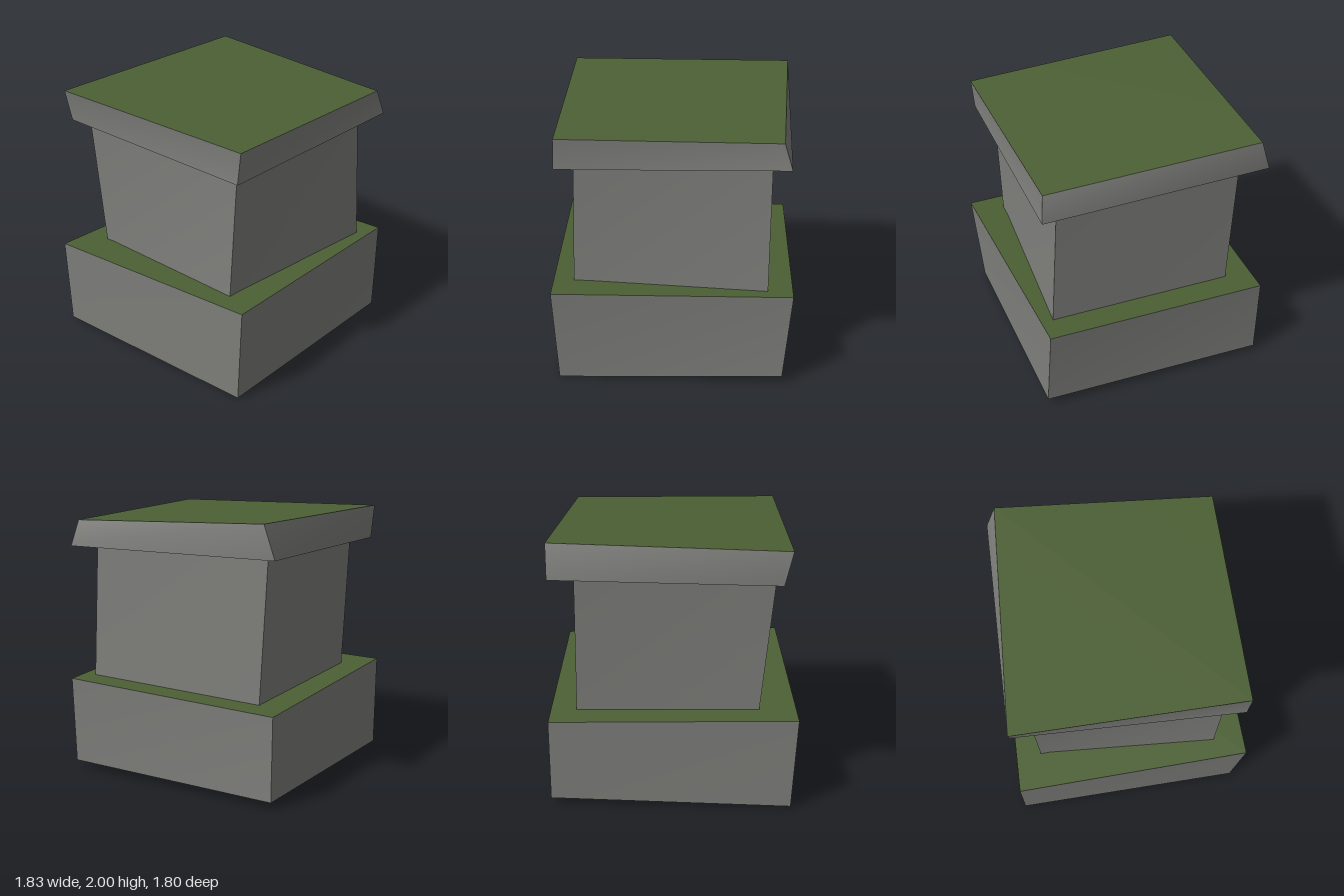
import * as THREE from 'three';

const stone = new THREE.MeshStandardMaterial({ color: 0x7f7f7c });
stone.name = 'stone grey';
const moss = new THREE.MeshStandardMaterial({ color: 0x4c6034 });
moss.name = 'moss green';

// Box whose eight corners are moved to given points.
// Corner order: -x+z, +x+z, +x-z, -x-z.
function crookedBlock(name, bottom, top, topMaterial) {
  const geometry = new THREE.BoxGeometry(1, 1, 1);
  const p = geometry.attributes.position;
  for (let i = 0; i < p.count; i++) {
    const right = p.getX(i) > 0;
    const corner = p.getZ(i) > 0 ? (right ? 1 : 0) : (right ? 2 : 3);
    const ring = p.getY(i) > 0 ? top : bottom;
    p.setXYZ(i, ...ring[corner]);
  }
  // soft per-face normals across each slightly twisted quad
  geometry.computeVertexNormals();
  const mesh = new THREE.Mesh(geometry, [stone, stone, topMaterial, stone, stone, stone]);
  mesh.name = name;
  return mesh;
}

export function createModel() {
  const pillar = new THREE.Group();
  pillar.name = 'stonePillar';

  // Wide foot with a mossy ledge
  pillar.add(crookedBlock('base',
    [[-0.83, 0, 0.84], [0.85, 0.06, 0.85], [0.90, 0.05, -0.87], [-0.88, 0.01, -0.90]],
    [[-0.86, 0.75, 0.90], [0.91, 0.73, 0.83], [0.90, 0.675, -0.88], [-0.92, 0.705, -0.895]],
    moss));

  // Shaft, sunk a little into the base and the cap
  pillar.add(crookedBlock('shaft',
    [[-0.72, 0.65, 0.66], [0.725, 0.65, 0.75], [0.71, 0.65, -0.67], [-0.635, 0.65, -0.70]],
    [[-0.68, 1.78, 0.70], [0.73, 1.78, 0.69], [0.695, 1.78, -0.73], [-0.745, 1.78, -0.71]],
    stone));

  // Tilted cap slab with a mossy top
  pillar.add(crookedBlock('cap',
    [[-0.81, 1.70, 0.81], [0.86, 1.735, 0.84], [0.87, 1.755, -0.87], [-0.78, 1.72, -0.87]],
    [[-0.80, 1.935, 0.83], [0.80, 1.925, 0.81], [0.88, 2, -0.79], [-0.84, 1.97, -0.87]],
    moss));

  return pillar;
}
